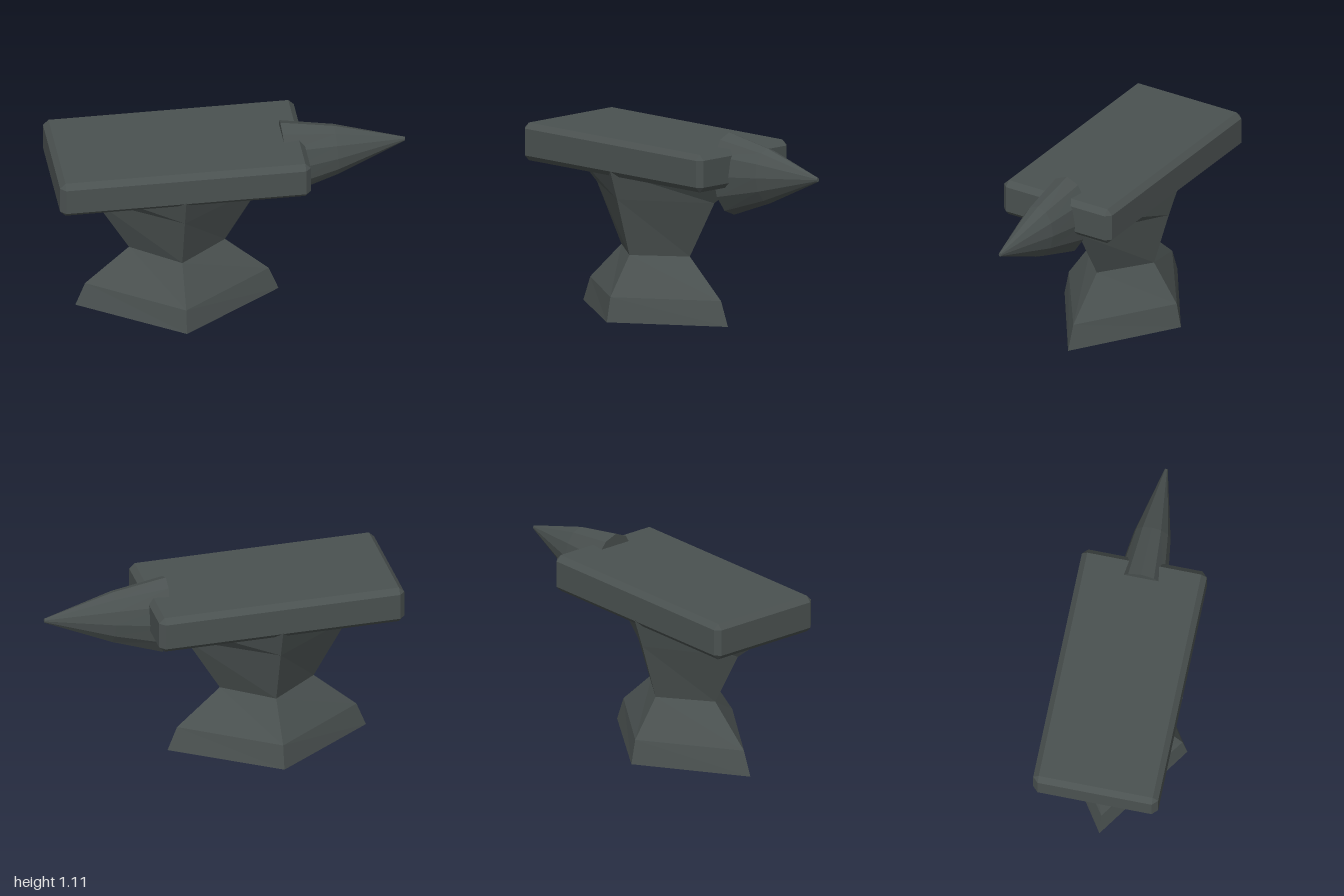
import * as THREE from 'three';
import { ConvexGeometry } from 'three/addons/geometries/ConvexGeometry.js';

// Closed, flat-faced skin through a list of equal-length rings of points
function loft(rings) {
  const pos = [];
  const n = rings[0].length;
  const tri = (...pts) => pts.forEach((p) => pos.push(...p));
  for (let k = 0; k < rings.length - 1; k++) {
    const lo = rings[k], hi = rings[k + 1];
    for (let i = 0; i < n; i++) {
      const j = (i + 1) % n;
      tri(lo[i], hi[i], hi[j]);
      tri(lo[i], hi[j], lo[j]);
    }
  }
  const first = rings[0], last = rings[rings.length - 1];
  for (let i = 1; i < n - 1; i++) {
    tri(first[0], first[i], first[i + 1]);
    tri(last[0], last[i + 1], last[i]);
  }
  const g = new THREE.BufferGeometry();
  g.setAttribute('position', new THREE.Float32BufferAttribute(pos, 3));
  g.computeVertexNormals();
  return g;
}

function ring(sides, point) {
  return Array.from({ length: sides }, (_, i) => {
    const a = (i / sides) * Math.PI * 2;
    return point(Math.cos(a), Math.sin(a));
  });
}

// Box with every edge cut at 45 degrees
function chamferedBox(w, h, d, c) {
  const pts = [];
  for (const x of [-1, 1]) for (const y of [-1, 1]) for (const z of [-1, 1]) {
    const X = w / 2, Y = h / 2, Z = d / 2;
    pts.push(
      new THREE.Vector3(x * X, y * (Y - c), z * (Z - c)),
      new THREE.Vector3(x * (X - c), y * Y, z * (Z - c)),
      new THREE.Vector3(x * (X - c), y * (Y - c), z * Z)
    );
  }
  return new ConvexGeometry(pts);
}

export function createModel() {
  const group = new THREE.Group();
  const iron = new THREE.MeshStandardMaterial({ color: 0x4a5150 });
  iron.name = 'darkIron';
  iron.flatShading = true;
  const add = (name, geometry) => {
    const mesh = new THREE.Mesh(geometry, iron);
    mesh.name = name;
    group.add(mesh);
    return mesh;
  };

  // Four-sided waisted pedestal: [y, half length, half depth]
  const levels = [
    [0, 0.575, 0.385],
    [0.14, 0.52, 0.357],
    [0.36, 0.272, 0.207],
    [0.69, 0.467, 0.305],
    [0.86, 0.69, 0.36],
  ];
  add('pedestal', loft(levels.map(([y, hx, hz]) =>
    ring(4, (c, s) => [-0.29 + hx * c, y, hz * s]))));

  // Working face
  add('topBlock', chamferedBox(1.42, 0.215, 0.714, 0.031)).position.set(-0.29, 0.932, 0);

  // Tapered horn, leaning slightly: [x, y centre, y radius, z radius, lean]
  const sections = [
    [0.315, 0.879, 0.232, 0.147, 0.02],
    [0.61, 0.905, 0.155, 0.105, 0.01],
    [1, 0.935, 0.012, 0.009, 0],
  ];
  add('horn', loft(sections.map(([x, y, ry, rz, lean]) =>
    ring(12, (c, s) => [x - lean * c, y + ry * c, -rz * s]))));

  return group;
}
